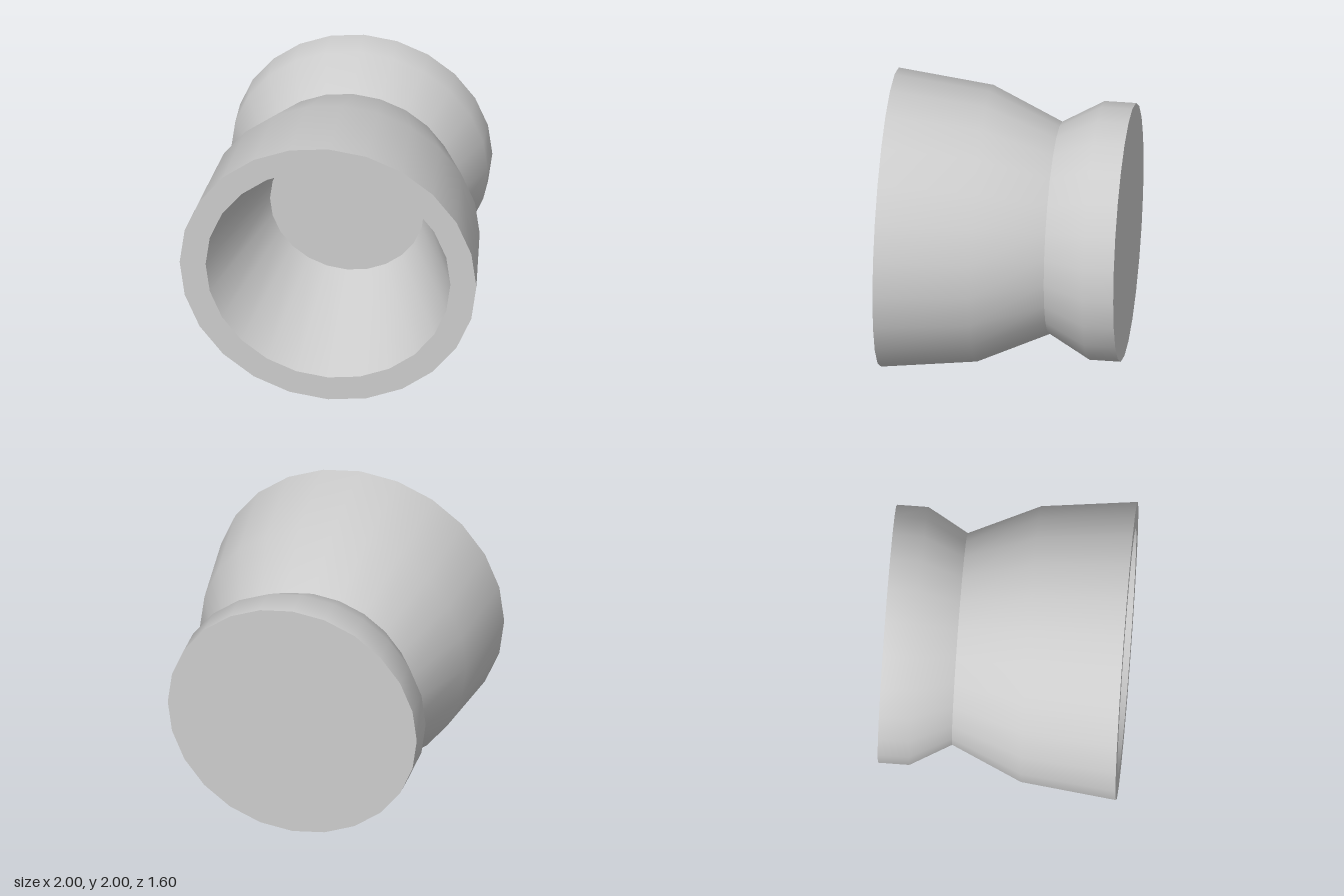
import * as THREE from 'three';

const SIDES = 24;

export function createModel() {
  const group = new THREE.Group();
  const grey = new THREE.MeshStandardMaterial({ color: 0xcccccc });
  grey.name = 'light grey';

  // Revolve [radius, z] points about the z axis; each section is smooth along its own profile
  const turned = (name, points) => {
    const geometry = new THREE.LatheGeometry(points.map(([r, z]) => new THREE.Vector2(r, z)), SIDES);
    geometry.rotateX(Math.PI / 2);
    const mesh = new THREE.Mesh(geometry, grey);
    mesh.name = name;
    mesh.position.y = 1;
    group.add(mesh);
  };

  // Sections run from the back centre, round the outside, to the inside of the cup
  turned('backCap', [[0, -0.8], [0.865, -0.8]]);
  turned('backFlange', [[0.865, -0.8], [0.865, -0.59], [0.71, -0.315]]);
  turned('cupWall', [[0.71, -0.315], [0.925, 0.16], [1, 0.8]]);
  turned('frontRim', [[1, 0.8], [0.825, 0.8]]);
  turned('cupInside', [[0.825, 0.8], [0.52, -0.05]]);
  turned('cupFloor', [[0.52, -0.05], [0, -0.05]]);

  return group;
}
